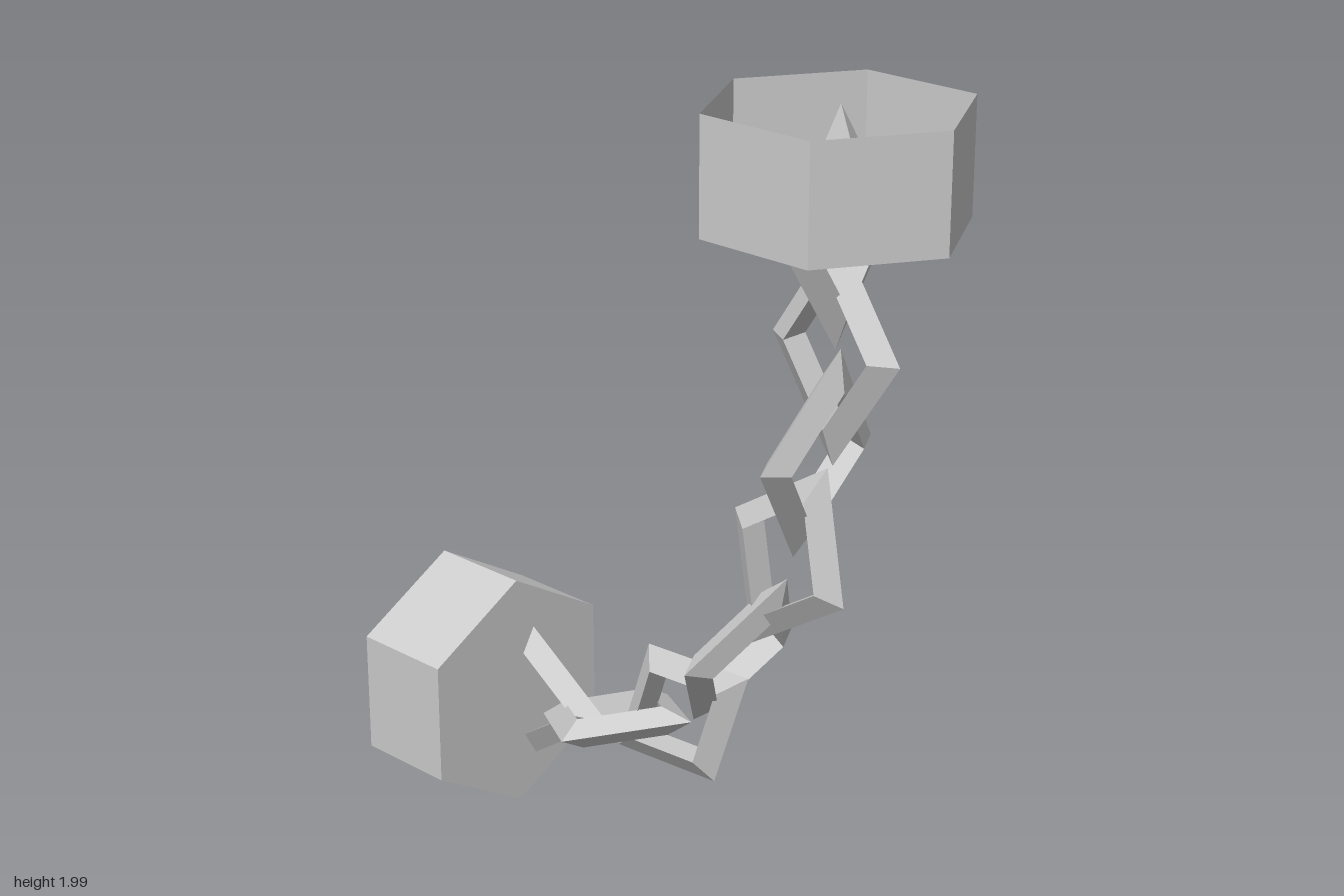
import * as THREE from 'three';

const linkMaterial = new THREE.MeshStandardMaterial({ color: 0xcccccc, flatShading: true });
const cupMaterial = new THREE.MeshStandardMaterial({ color: 0xcccccc, flatShading: true, side: THREE.DoubleSide });

// Thin hexagonal cup: origin at the centre of its height, opening towards +y
function createCup(name) {
  const radius = 0.306, height = 0.27;
  const cup = new THREE.Group();
  cup.name = name;

  const wall = new THREE.Mesh(new THREE.CylinderGeometry(radius, radius, height, 6, 1, true), cupMaterial);
  wall.name = name + 'Wall';

  const floorGeometry = new THREE.CircleGeometry(radius, 6, Math.PI / 2);
  floorGeometry.rotateX(Math.PI / 2);
  const floor = new THREE.Mesh(floorGeometry, cupMaterial);
  floor.name = name + 'Floor';
  floor.position.y = -height / 2;

  cup.add(wall, floor);
  return cup;
}

export function createModel() {
  const model = new THREE.Group();
  model.name = 'shackles';

  // Upper cup opens upwards, lower cup opens backwards
  const upperCup = createCup('upperCup');
  upperCup.position.set(0.024, 1.864, 0.48);
  const lowerCup = createCup('lowerCup');
  lowerCup.position.set(-0.028, 0.311, -0.637);
  lowerCup.rotation.x = -Math.PI / 2;
  model.add(upperCup, lowerCup);

  // Diamond link with a triangular section, stretched along the chain
  const linkGeometry = new THREE.TorusGeometry(0.141, 0.042, 3, 4);
  linkGeometry.scale(1, 1.49, 1);

  // Each link: y, z, tilt from vertical in degrees; every second one is turned a quarter
  const chain = new THREE.Group();
  chain.name = 'chain';
  const links = [
    [1.727, 0.48, 0],
    [1.456, 0.48, 0],
    [1.195, 0.432, 13.5],
    [0.925, 0.355, 24],
    [0.641, 0.205, 32.5],
    [0.416, 0.018, 53],
    [0.321, -0.21, 73],
    [0.297, -0.511, 90],
  ];
  links.forEach(([y, z, tilt], i) => {
    const link = new THREE.Mesh(linkGeometry, linkMaterial);
    link.name = 'chainLink' + (i + 1);
    link.position.set(0.027, y, z);
    link.rotation.set(THREE.MathUtils.degToRad(tilt), (i % 2) * Math.PI / 2, 0);
    chain.add(link);
  });
  model.add(chain);

  return model;
}
